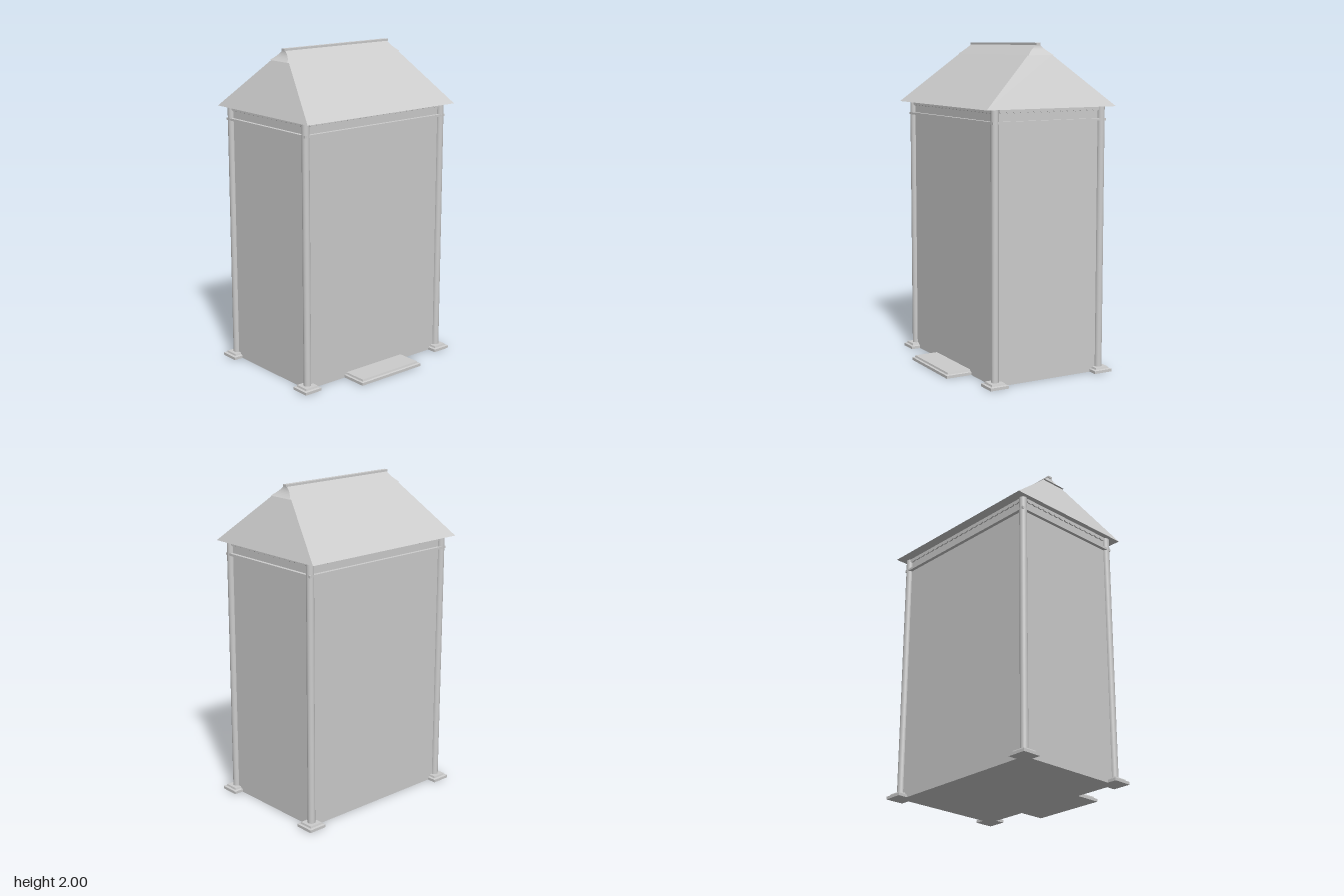
import * as THREE from 'three';

const CZ = -0.045;          // depth centre of the building
const HX = 0.535, HZ = 0.363; // half spans between column centres
const material = new THREE.MeshStandardMaterial({ color: 0xcccccc, side: THREE.DoubleSide });

function part(parent, name, geometry, x = 0, y = 0, z = 0) {
  const mesh = new THREE.Mesh(geometry, material);
  mesh.name = name;
  mesh.position.set(x, y, z);
  parent.add(mesh);
  return mesh;
}

function box(parent, name, w, h, d, x, bottom, z) {
  return part(parent, name, new THREE.BoxGeometry(w, h, d), x, bottom + h / 2, z);
}

// Closed solid from stacked rectangles, each [y, halfX, halfZ]
function rectLoft(levels) {
  const pos = [];
  const ring = ([y, x, z]) => [[x, y, z], [x, y, -z], [-x, y, -z], [-x, y, z]];
  const quad = (a, b, c, d) => pos.push(...a, ...b, ...c, ...a, ...c, ...d);
  for (let i = 0; i < levels.length - 1; i++) {
    const lo = ring(levels[i]), hi = ring(levels[i + 1]);
    for (let k = 0; k < 4; k++) {
      const n = (k + 1) % 4;
      quad(lo[k], lo[n], hi[n], hi[k]);
    }
  }
  const top = ring(levels[levels.length - 1]);
  quad(...top);
  quad(...ring(levels[0]).reverse());
  const geometry = new THREE.BufferGeometry();
  geometry.setAttribute('position', new THREE.Float32BufferAttribute(pos, 3));
  geometry.computeVertexNormals();
  return geometry;
}

// Flat strip whose lower edge is a row of half-round scallops
function scallopStrip(length, count) {
  const step = length / count;
  const shape = new THREE.Shape();
  shape.moveTo(-length / 2, 0.016);
  shape.lineTo(-length / 2, 0);
  for (let i = 0; i < count; i++) {
    shape.absellipse(-length / 2 + (i + 0.5) * step, 0, step / 2, 0.011, Math.PI, 2 * Math.PI, false);
  }
  shape.lineTo(length / 2, 0.016);
  return new THREE.ExtrudeGeometry(shape, { depth: 0.008, bevelEnabled: false, curveSegments: 8 });
}

export function createModel() {
  const model = new THREE.Group();
  model.name = 'pavilion';
  const building = new THREE.Group();
  building.name = 'building';
  building.position.z = CZ;
  model.add(building);

  // Plain walls
  box(building, 'walls', 2 * HX, 1.625, 2 * HZ, 0, 0, 0);

  // Corner columns on stepped plinths
  const plinth = rectLoft([[0, 0.06, 0.06], [0.017, 0.06, 0.06], [0.02, 0.046, 0.046], [0.031, 0.043, 0.043]]);
  const shaft = new THREE.CylinderGeometry(0.023, 0.023, 1.6, 24);
  for (const sx of [-1, 1]) for (const sz of [-1, 1]) {
    const column = new THREE.Group();
    column.name = 'cornerColumn';
    column.position.set(sx * HX, 0, sz * HZ);
    building.add(column);
    part(column, 'plinth', plinth);
    part(column, 'shaft', shaft, 0, 0.825, 0);
  }

  // Thin ledge running around below the eaves
  box(building, 'ledge', 1.112, 0.014, 0.77, 0, 1.541, 0);

  // Scalloped trim on all four sides
  const sides = [
    [0, HZ, 1.03, 22], [Math.PI / 2, HX, 0.68, 15],
    [Math.PI, HZ, 1.03, 22], [-Math.PI / 2, HX, 0.68, 15],
  ];
  for (const [angle, distance, length, count] of sides) {
    const side = new THREE.Group();
    side.name = 'eavesTrim';
    side.rotation.y = angle;
    building.add(side);
    part(side, 'scallops', scallopStrip(length, count), 0, 1.611, distance + 0.006);
  }

  // Hipped main roof
  part(building, 'roof', rectLoft([[1.625, 0.58, 0.44], [1.93, 0.432, 0.082]]));

  // Ridge cap with hollow-curved ends
  const capLevels = [];
  for (let i = 0; i <= 8; i++) {
    const t = i / 8;
    capLevels.push([1.928 + 0.06 * t, 0.405 + 0.04 * (1 - t) ** 2, 0.086 - 0.073 * t]);
  }
  part(building, 'ridgeCap', rectLoft(capLevels));
  box(building, 'ridgeBar', 0.82, 0.014, 0.028, 0, 1.986, 0);

  // Front doorstep
  const step = rectLoft([[0, 0.242, 0.1], [0.017, 0.242, 0.1], [0.02, 0.23, 0.088], [0.031, 0.227, 0.085]]);
  part(model, 'doorstep', step, 0, 0, 0.385);

  return model;
}
